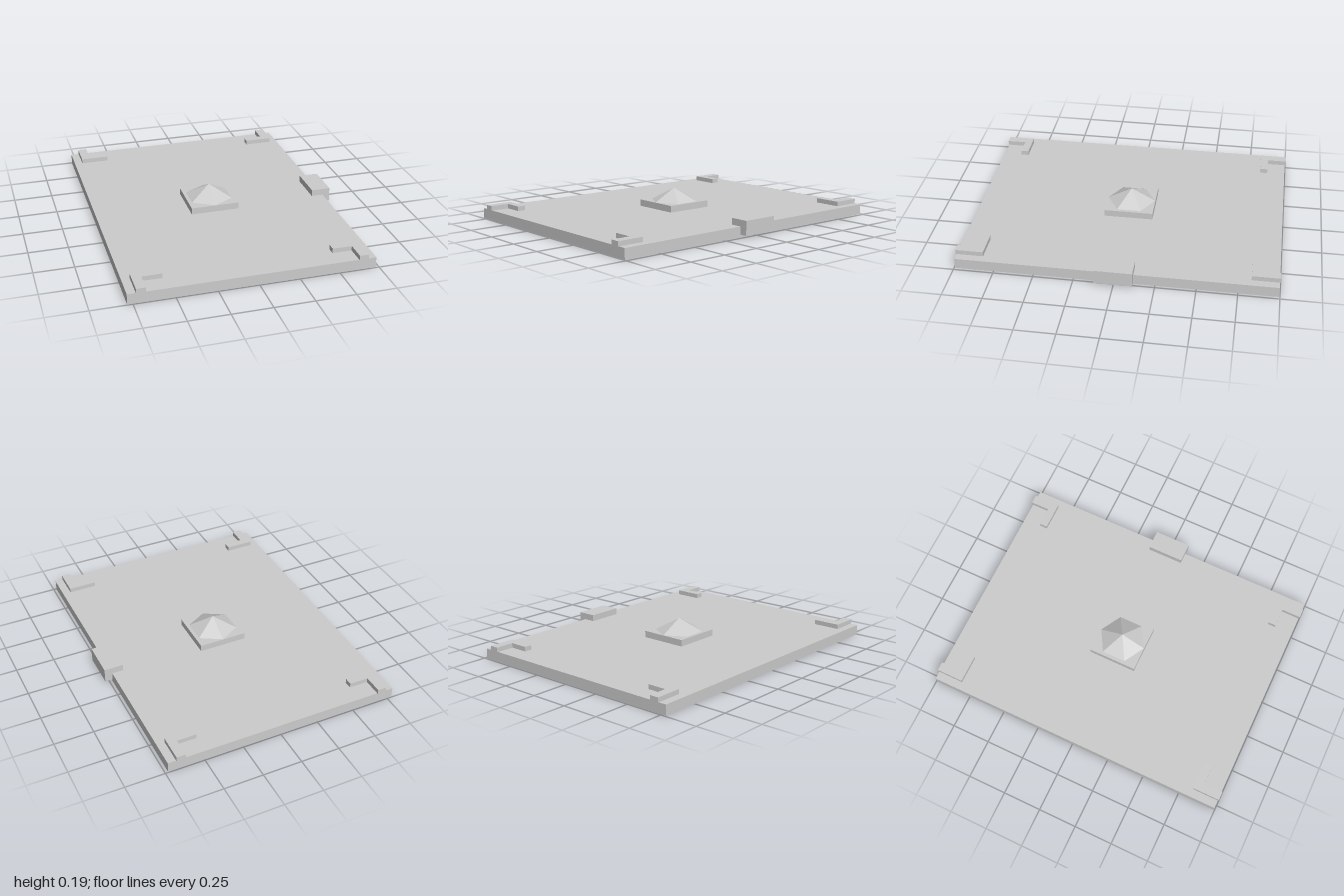
import * as THREE from 'three';

export function createModel() {
  const model = new THREE.Group();
  model.name = 'panel';
  const grey = new THREE.MeshStandardMaterial({ color: 0xcccccc, flatShading: true });
  grey.name = 'light grey';

  const MID = -0.026; // centre line of the slab
  const TOP = 0.067; // top of the slab

  const add = (name, geometry, parent = model) => {
    const mesh = new THREE.Mesh(geometry, grey);
    mesh.name = name;
    parent.add(mesh);
    return mesh;
  };

  // Box given by its lower and upper bounds
  const box = (name, [x0, y0, z0], [x1, y1, z1]) =>
    add(name, new THREE.BoxGeometry(x1 - x0, y1 - y0, z1 - z0)
      .translate((x0 + x1) / 2, (y0 + y1) / 2, (z0 + z1) / 2));

  // Flat slab
  box('slab', [-0.783, 0, -0.994], [0.731, TOP, 0.994]);

  // Centre plate with a six-sided peak
  box('centrePlate', [MID - 0.157, TOP, -0.157], [MID + 0.157, 0.11, 0.157]);
  add('peak', new THREE.ConeGeometry(0.155, 0.083, 6)).position.set(MID, 0.1515, 0);

  // Clasp on the left edge
  box('clasp', [0.656, 0.017, -0.118], [0.78, 0.109, 0.118]);

  // L-shaped corner brackets, mirrored to all four corners
  for (const sx of [-1, 1]) {
    for (const sz of [-1, 1]) {
      const points = [
        [0.705, 1], [0.705, 0.825], [0.524, 0.825],
        [0.524, 0.876], [0.647, 0.876], [0.647, 1],
      ].map(([x, z]) => new THREE.Vector2(MID + sx * x, -sz * z));
      const bracket = add('cornerBracket', new THREE.ExtrudeGeometry(
        new THREE.Shape(points), { depth: 0.097 - TOP, bevelEnabled: false }));
      bracket.rotation.x = -Math.PI / 2;
      bracket.position.y = TOP;
    }
  }

  return model;
}
